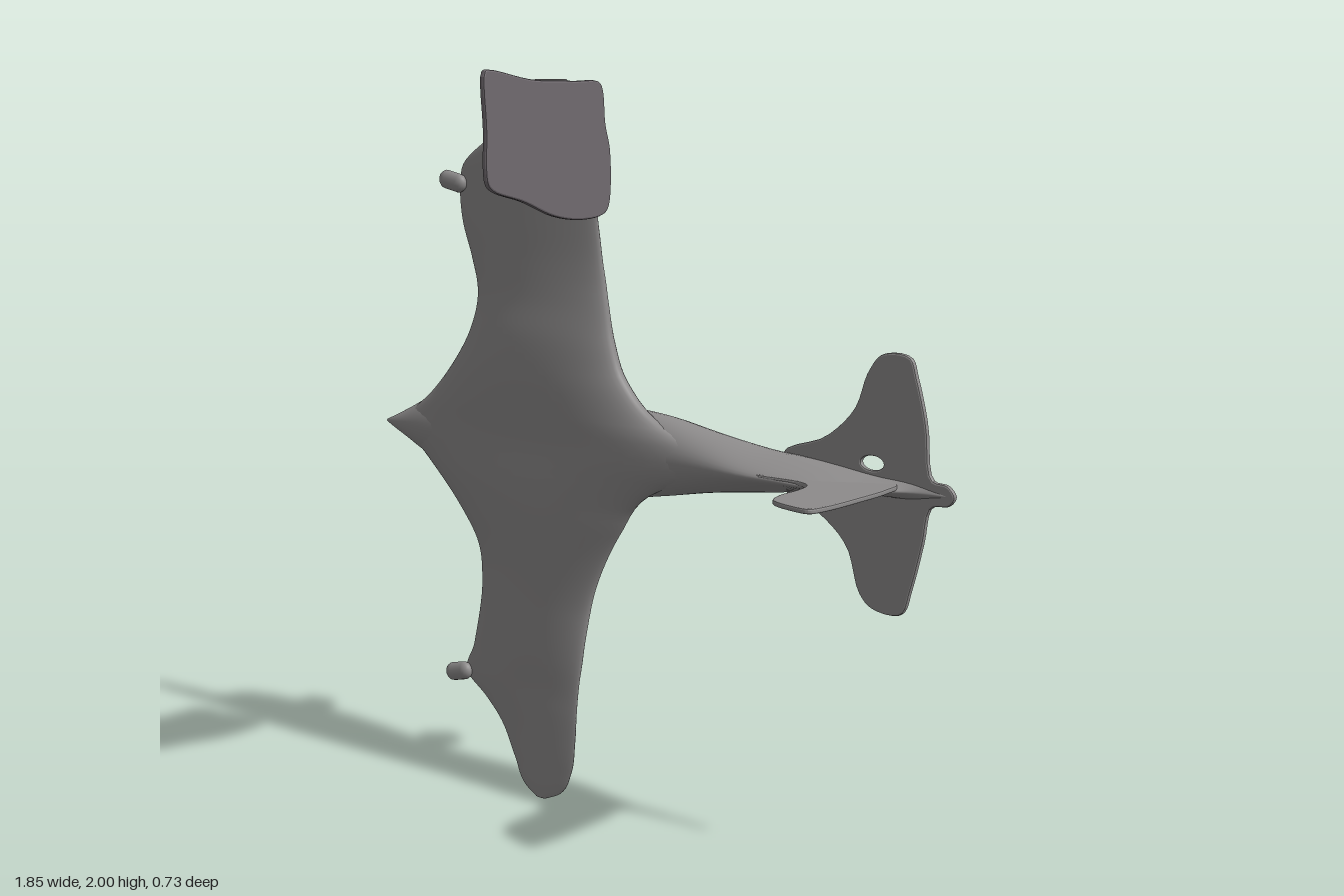
import * as THREE from 'three';

const grey = new THREE.MeshStandardMaterial({ color: 0x8d8b8b, side: THREE.DoubleSide });
const dark = new THREE.MeshStandardMaterial({ color: 0x6f696e, side: THREE.DoubleSide });

// Skins rings placed along an axis; place(values, t, angle) returns a point.
function loft(table, steps, sides, place) {
  const stride = table[0].length - 1;
  const curve = new THREE.CubicInterpolant(
    table.map(r => r[0]), table.flatMap(r => r.slice(1)), stride, new Float32Array(stride));
  const t0 = table[0][0], t1 = table[table.length - 1][0];
  const pos = [], index = [];
  for (let i = 0; i <= steps; i++) {
    // steps bunch up towards the two tips
    const t = t0 + (t1 - t0) * (0.5 - 0.5 * Math.cos(Math.PI * i / steps));
    const v = curve.evaluate(Math.min(t, t1));
    for (let j = 0; j < sides; j++) pos.push(...place(v, t, j / sides * Math.PI * 2));
  }
  for (let i = 0; i < steps; i++) for (let j = 0; j < sides; j++) {
    const a = i * sides + j, b = i * sides + (j + 1) % sides, c = a + sides, d = b + sides;
    index.push(a, c, b, b, c, d);
  }
  for (let j = 1; j < sides - 1; j++) {
    const e = steps * sides;
    index.push(0, j, j + 1, e, e + j + 1, e + j);
  }
  const g = new THREE.BufferGeometry();
  g.setAttribute('position', new THREE.Float32BufferAttribute(pos, 3));
  g.setIndex(index);
  g.computeVertexNormals();
  return g;
}

// Thin plate with a smooth outline, centred on its own thickness.
function plate(points, thickness, hole) {
  const curve = new THREE.CatmullRomCurve3(
    points.map(p => new THREE.Vector3(p[0], p[1], 0)), true, 'centripetal');
  const shape = new THREE.Shape(curve.getPoints(90).map(p => new THREE.Vector2(p.x, p.y)));
  if (hole) shape.holes.push(new THREE.Path().absellipse(...hole, 0, Math.PI * 2, true));
  const bevel = thickness * 0.3;
  return new THREE.ExtrudeGeometry(shape, {
    depth: thickness - 2 * bevel, bevelThickness: bevel, bevelSize: bevel, bevelOffset: -bevel,
    bevelSegments: 2, curveSegments: 20,
  }).translate(0, 0, bevel - thickness / 2);
}

export function createModel() {
  const group = new THREE.Group();
  const add = (name, geometry, material = grey) => {
    const mesh = new THREE.Mesh(geometry, material);
    mesh.name = name;
    group.add(mesh);
    return mesh;
  };

  // Wings with blended root: y, leading x, trailing x, top z, bottom z
  const wing = [
    [0.005, -0.31, -0.275, -0.103, -0.11], [0.03, -0.352, -0.222, -0.101, -0.113],
    [0.1, -0.392, -0.178, -0.1, -0.116], [0.2, -0.45, -0.165, -0.099, -0.122],
    [0.26, -0.515, -0.162, -0.098, -0.126], [0.31, -0.585, -0.16, -0.097, -0.131],
    [0.4, -0.56, -0.15, -0.094, -0.142],
    [0.6, -0.535, -0.12, -0.09, -0.175], [0.7, -0.55, -0.08, -0.086, -0.19],
    [0.8, -0.625, -0.02, -0.08, -0.198], [0.9, -0.73, 0.06, -0.078, -0.215],
    [0.95, -0.79, 0.16, -0.08, -0.22],
    [1.0, -0.86, 0.32, -0.082, -0.222], [1.05, -0.81, 0.26, -0.08, -0.22],
    [1.1, -0.74, 0.12, -0.075, -0.215],
    [1.2, -0.64, 0.0, -0.07, -0.205], [1.3, -0.57, -0.045, -0.073, -0.195],
    [1.4, -0.54, -0.065, -0.084, -0.18], [1.5, -0.56, -0.08, -0.09, -0.165],
    [1.6, -0.59, -0.09, -0.093, -0.15], [1.7, -0.595, -0.1, -0.096, -0.14],
    [1.76, -0.575, -0.112, -0.097, -0.134], [1.85, -0.44, -0.124, -0.099, -0.124],
    [1.9, -0.385, -0.13, -0.1, -0.119], [1.95, -0.355, -0.15, -0.101, -0.115],
    [1.98, -0.3, -0.19, -0.103, -0.111],
  ];
  add('wings', loft(wing, 150, 48, ([lead, trail, top, bottom], y, a) => {
    const s = Math.sin(a), mid = Math.max(-0.13, (top + bottom) / 2);
    const x = (lead + trail) / 2 + (trail - lead) / 2 * Math.cos(a);
    let z = mid + (s > 0 ? top - mid : mid - bottom) * s;
    // slanted, stepped ripples under the outer panels
    const span = Math.abs(y - 1);
    const outer = THREE.MathUtils.smoothstep(span, 0.35, 0.5)
      * (1 - THREE.MathUtils.smoothstep(span, 0.8, 0.95));
    if (s < 0) z += 0.003 * outer * s * Math.sin(span * 60 + x * 14);
    return [x, y, z];
  }));

  // Fuselage: x, centre y, half width, top z, bottom z, z of the widest line
  const body = [
    [-0.925, 1.003, 0.004, -0.13, -0.138, -0.134], [-0.89, 1.003, 0.02, -0.118, -0.165, -0.14],
    [-0.84, 1.003, 0.045, -0.108, -0.225, -0.15], [-0.76, 1.003, 0.085, -0.1, -0.26, -0.16],
    [-0.6, 1.003, 0.115, -0.095, -0.278, -0.165], [-0.35, 1.003, 0.13, -0.09, -0.285, -0.17],
    [-0.1, 1.005, 0.128, -0.092, -0.268, -0.17], [0.1, 1.015, 0.106, -0.096, -0.265, -0.175],
    [0.25, 1.015, 0.078, -0.099, -0.275, -0.18], [0.4, 1.01, 0.055, -0.1, -0.292, -0.2],
    [0.5, 1.01, 0.044, -0.102, -0.297, -0.22], [0.6, 1.008, 0.034, -0.108, -0.292, -0.235],
    [0.7, 1.006, 0.024, -0.15, -0.278, -0.245], [0.8, 1.005, 0.02, -0.225, -0.264, -0.247],
    [0.92, 1.005, 0.006, -0.247, -0.257, -0.252],
  ];
  add('fuselage', loft(body, 80, 36, ([cy, half, top, bottom, wide], x, a) => {
    const s = -Math.sin(a), c = Math.cos(a);
    // the spine narrows towards the tail
    const pinch = s > 0 ? 1 - 0.5 * s * THREE.MathUtils.smoothstep(x, 0.1, 0.55) : 1;
    return [x, cy + half * c * pinch, wide + (s > 0 ? top - wide : wide - bottom) * s];
  }));

  // Tailplane with a small hole
  add('tailplane', plate([
    [0.42, 0.965], [0.54, 0.91], [0.62, 0.84], [0.66, 0.73], [0.7, 0.695], [0.785, 0.695],
    [0.81, 0.76], [0.84, 0.88], [0.86, 0.97], [0.91, 0.982], [0.925, 1.005], [0.905, 1.03],
    [0.86, 1.04], [0.84, 1.17], [0.81, 1.28], [0.79, 1.327], [0.71, 1.328], [0.67, 1.28],
    [0.635, 1.19], [0.55, 1.11], [0.42, 1.055],
  ], 0.015, [0.69, 1.06, 0.033, 0.018])).position.z = -0.252;

  // Upright fin
  const fin = plate([
    [0.42, -0.115], [0.58, -0.103], [0.615, -0.08], [0.632, -0.02], [0.637, 0.06], [0.66, 0.115],
    [0.73, 0.143], [0.785, 0.145], [0.797, 0.1], [0.797, -0.05], [0.79, -0.16], [0.765, -0.24],
    [0.45, -0.24],
  ], 0.013);
  add('fin', fin.rotateX(Math.PI / 2)).position.y = 1.014;

  // Wheels hanging on short flared legs
  for (const [y, z] of [[1.347, -0.302], [0.685, -0.3]]) {
    const side = Math.sign(y - 1);
    const wheel = add('wheel', new THREE.SphereGeometry(0.06, 24, 16));
    wheel.scale.y = 0.96;
    wheel.position.set(-0.31, y, z);
    const leg = loft([
      [0, 0.06, 0.065], [0.04, 0.042, 0.052], [0.08, 0.028, 0.05], [0.15, 0.035, 0.054],
    ], 14, 18, ([ry, rx], t, a) => [rx * Math.cos(a), ry * Math.sin(a) + side * t * 0.15, -t]);
    add('wheelLeg', leg).position.set(-0.31, y - side * 0.022, -0.155);
  }

  // Small rounded pods on the leading edges
  for (const [y, tilt] of [[1.706, -0.2], [0.312, 0.25]]) {
    const pod = add('wingPod', new THREE.CapsuleGeometry(0.026, 0.045, 6, 14));
    pod.scale.z = 0.7;
    pod.rotation.z = Math.PI / 2 + tilt;
    pod.position.set(-0.606, y, -0.1);
  }

  // Loose panel standing above the wing, slightly tilted
  const panel = plate([
    [0.362, 1.997], [0.34, 2.0], [0.2, 1.978], [0.05, 1.975], [-0.045, 1.972], [-0.058, 1.95],
    [-0.065, 1.87], [-0.082, 1.8], [-0.075, 1.665], [-0.055, 1.643], [0.03, 1.632],
    [0.13, 1.645], [0.24, 1.685], [0.345, 1.715], [0.362, 1.735], [0.362, 1.86],
  ], 0.016).rotateY(-Math.PI / 2);
  const p = panel.attributes.position;
  for (let i = 0; i < p.count; i++) {
    p.setX(i, p.getX(i) - 0.022 - 0.02 * (p.getY(i) - 1.8));
  }
  panel.computeVertexNormals();
  add('panel', panel, dark);

  return group;
}
